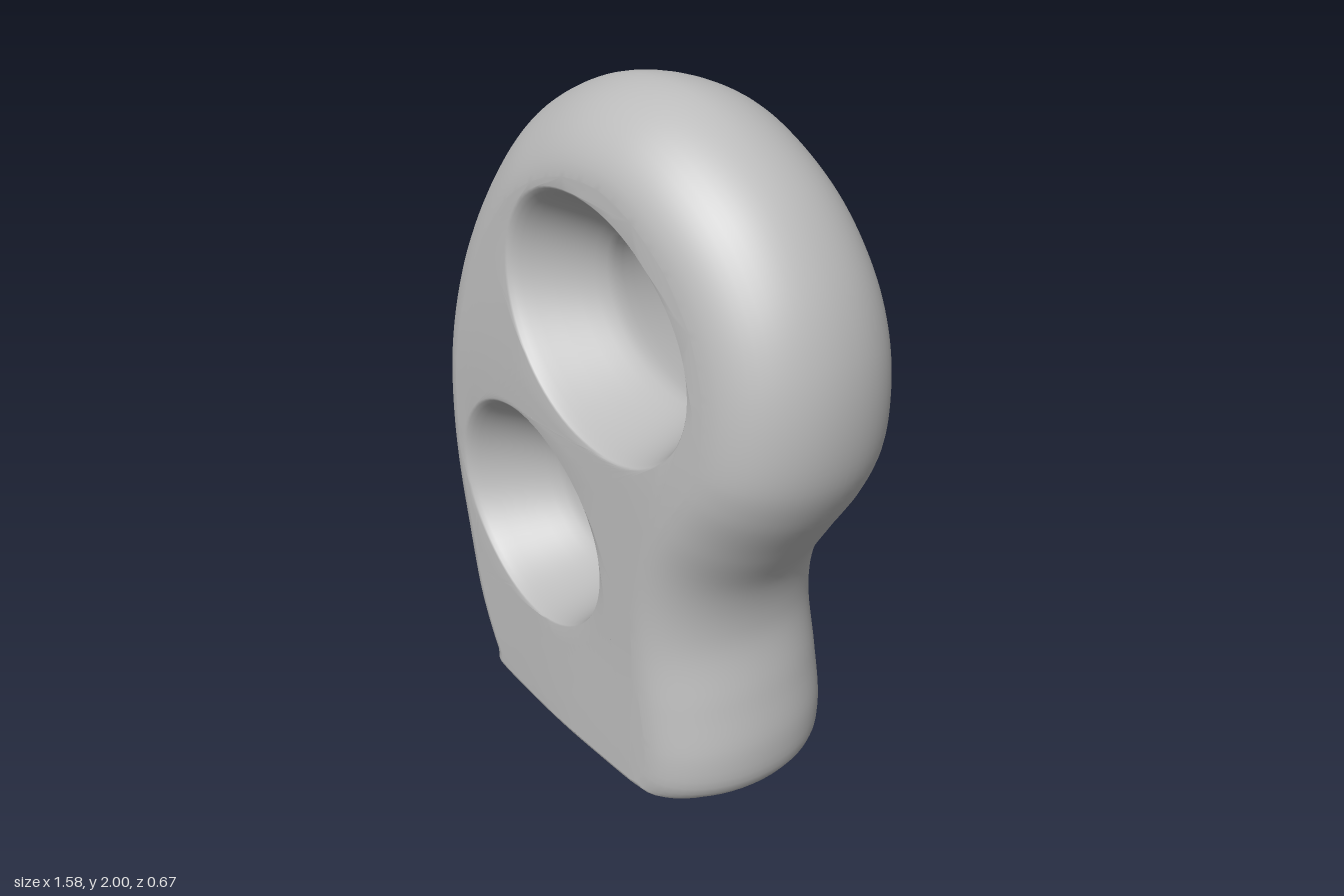
import * as THREE from 'three';
import { mergeGeometries, mergeVertices } from 'three/addons/utils/BufferGeometryUtils.js';

const ss = (a, b, v) => THREE.MathUtils.smoothstep(v, a, b);
const { lerp, clamp } = THREE.MathUtils;

// Height of the front and back faces at a point of the slab
const frontZ = (x, y) => 0.335 - 0.013 * ss(0, 0.5, y) - 0.05 * ss(1.0, 1.9, y)
  - 0.04 * (1 - ss(-0.65, 0.1, x)) - 0.02 * ss(0.3, 0.7, x);
const backZ = (x, y) => -0.318 + 0.033 * x + 0.012 * ss(1.4, 1.9, y);

// Silhouette, counter-clockwise from the lower right corner
const OUTLINE = [
  [0.56, 0.015], [0.6, 0.06], [0.61, 0.18], [0.58, 0.35], [0.54, 0.55], [0.56, 0.7],
  [0.64, 0.85], [0.73, 1.0], [0.775, 1.12], [0.786, 1.28], [0.76, 1.45], [0.69, 1.62],
  [0.56, 1.79], [0.4, 1.91], [0.24, 1.98], [0.1, 2.0], [-0.06, 1.985], [-0.22, 1.93],
  [-0.4, 1.82], [-0.56, 1.64], [-0.69, 1.4], [-0.77, 1.1], [-0.79, 0.85], [-0.775, 0.62],
  [-0.73, 0.4], [-0.66, 0.2], [-0.58, 0.05], [-0.54, 0.015], [-0.45, 0.004], [0, 0], [0.45, 0.004],
];

// Each hole: [centre x, centre y, radius x, radius y] at front, waist and back, plus a skew
const HOLES = [
  { front: [0.115, 1.4, 0.395, 0.34], waist: [0.16, 1.375, 0.27, 0.24], back: [0.175, 1.355, 0.375, 0.345], skew: -0.25 },
  { front: [-0.18, 0.695, 0.365, 0.335], waist: [-0.115, 0.673, 0.255, 0.237], back: [-0.09, 0.655, 0.355, 0.34], skew: -0.1 },
];
const WAIST_Z = 0.02;

// Hole profiles: [opening amount, height towards the face]
const FRONT_EDGE = [[1, 1], [0.95, 0.985], [0.88, 0.94], [0.8, 0.87], [0.7, 0.77], [0.5, 0.57], [0.28, 0.36], [0.13, 0.21], [0.03, 0.09]];
const BACK_EDGE = [[0, 0], [0.03, 0.09], [0.13, 0.21], [0.28, 0.36], [0.5, 0.56], [0.72, 0.76], [0.88, 0.91], [0.95, 0.975], [1, 1]];

function geometry(points, index) {
  const g = new THREE.BufferGeometry();
  g.setAttribute('position', new THREE.Float32BufferAttribute(points.flatMap((p) => [p.x, p.y, p.z]), 3));
  g.setIndex(index);
  return g;
}

// Skin between closed rings of equal length
function loft(rings) {
  const n = rings[0].length, index = [];
  for (let i = 0; i < rings.length - 1; i++) {
    for (let j = 0; j < n; j++) {
      const k = (j + 1) % n, a = i * n + j, b = i * n + k;
      index.push(a, b, b + n, a, b + n, a + n);
    }
  }
  return geometry(rings.flat(), index);
}

// Gently curved face with holes; long edges are halved and set on the surface
function face(contour, holes, heightAt, flip) {
  const reversed = holes.map((h) => [...h].reverse());
  const flat = (ring) => ring.map((p) => new THREE.Vector2(p.x, p.y));
  const all = [contour, ...reversed].flat();
  const stack = THREE.ShapeUtils.triangulateShape(flat(contour), reversed.map(flat)).map((t) => t.map((i) => all[i]));
  const points = [];
  while (stack.length) {
    const tri = stack.pop();
    const len = tri.map((p, i) => Math.hypot(p.x - tri[(i + 1) % 3].x, p.y - tri[(i + 1) % 3].y));
    const longest = Math.max(...len);
    if (longest < 0.11) {
      points.push(...(flip ? [...tri].reverse() : tri));
      continue;
    }
    const i = len.indexOf(longest), a = tri[i], b = tri[(i + 1) % 3], c = tri[(i + 2) % 3];
    const x = (a.x + b.x) / 2, y = (a.y + b.y) / 2;
    const mid = new THREE.Vector3(x, y, heightAt(x, y));
    stack.push([a, mid, c], [mid, b, c]);
  }
  return geometry(points, points.map((_, i) => i));
}

// Skewed ellipse between the waist (f = 0) and a face opening (f = 1)
function holeRing(hole, side, f, h) {
  const [cx, cy, rx, ry] = hole.waist.map((v, i) => lerp(v, hole[side][i], f));
  const heightAt = side === 'front' ? frontZ : backZ;
  return Array.from({ length: 80 }, (_, i) => {
    const t = (i / 80) * Math.PI * 2;
    const x = cx + rx * Math.cos(t), y = cy + ry * Math.sin(t + hole.skew);
    return new THREE.Vector3(x, y, lerp(WAIST_Z, heightAt(x, y), h));
  });
}

// Rounded outer rim, from the back face round to the front face
function rimRings() {
  const curve = new THREE.CatmullRomCurve3(OUTLINE.map(([x, y]) => new THREE.Vector3(x, y, 0)), true, 'centripetal');
  const pts = curve.getSpacedPoints(220).slice(0, 220);
  const n = pts.length, steps = 14;
  const edges = pts.map((p, i) => {
    const t = pts[(i + 1) % n].clone().sub(pts[(i + n - 1) % n]).normalize();
    const nx = t.y, ny = -t.x;
    // Near the foot the rounding is tight below but wide at both ends
    const low = ny < 0 ? 1 - ss(0.1, 0.6, p.y) : 0;
    const ends = clamp((p.x / 0.58) ** 3, -1, 1);
    return {
      dx: 0.22 * lerp(nx, ends, 1 - ss(0.05, 0.3, p.y)),
      dy: ny * lerp(0.22, 0.03, low),
      sharp: lerp(1, 4, low),
      round: 2 / (1.8 + 0.25 * nx),
    };
  });
  const rings = [];
  for (let k = -steps; k <= steps; k++) {
    const a = (Math.abs(k) / steps) * Math.PI / 2;
    rings.push(pts.map((p, i) => {
      const { dx, dy, sharp, round } = edges[i];
      const inset = 1 - Math.pow(Math.max(0, Math.cos(a)), round);
      const x = p.x - dx * inset, y = p.y - dy * inset ** sharp;
      return new THREE.Vector3(x, y, Math.sin(a) ** round * (k < 0 ? backZ(x, y) : frontZ(x, y)));
    }));
  }
  return rings;
}

export function createModel() {
  const model = new THREE.Group();
  model.name = 'piercedSculpture';
  const grey = new THREE.MeshStandardMaterial({ color: 0xbcbcbc });
  grey.name = 'stone grey';

  // Rim, both faces and the two waisted holes, joined smoothly
  const rim = rimRings();
  const holes = HOLES.map((hole) => [
    ...FRONT_EDGE.map(([f, h]) => holeRing(hole, 'front', f, h)),
    ...BACK_EDGE.map(([f, h]) => holeRing(hole, 'back', f, h)),
  ]);
  const body = mergeVertices(mergeGeometries([
    loft(rim),
    face(rim[rim.length - 1], holes.map((r) => r[0]), frontZ, false),
    face(rim[0], holes.map((r) => r[r.length - 1]), backZ, true),
    ...holes.map(loft),
  ]), 1e-5);
  body.computeVertexNormals();

  const mesh = new THREE.Mesh(body, grey);
  mesh.name = 'body';
  model.add(mesh);
  return model;
}
